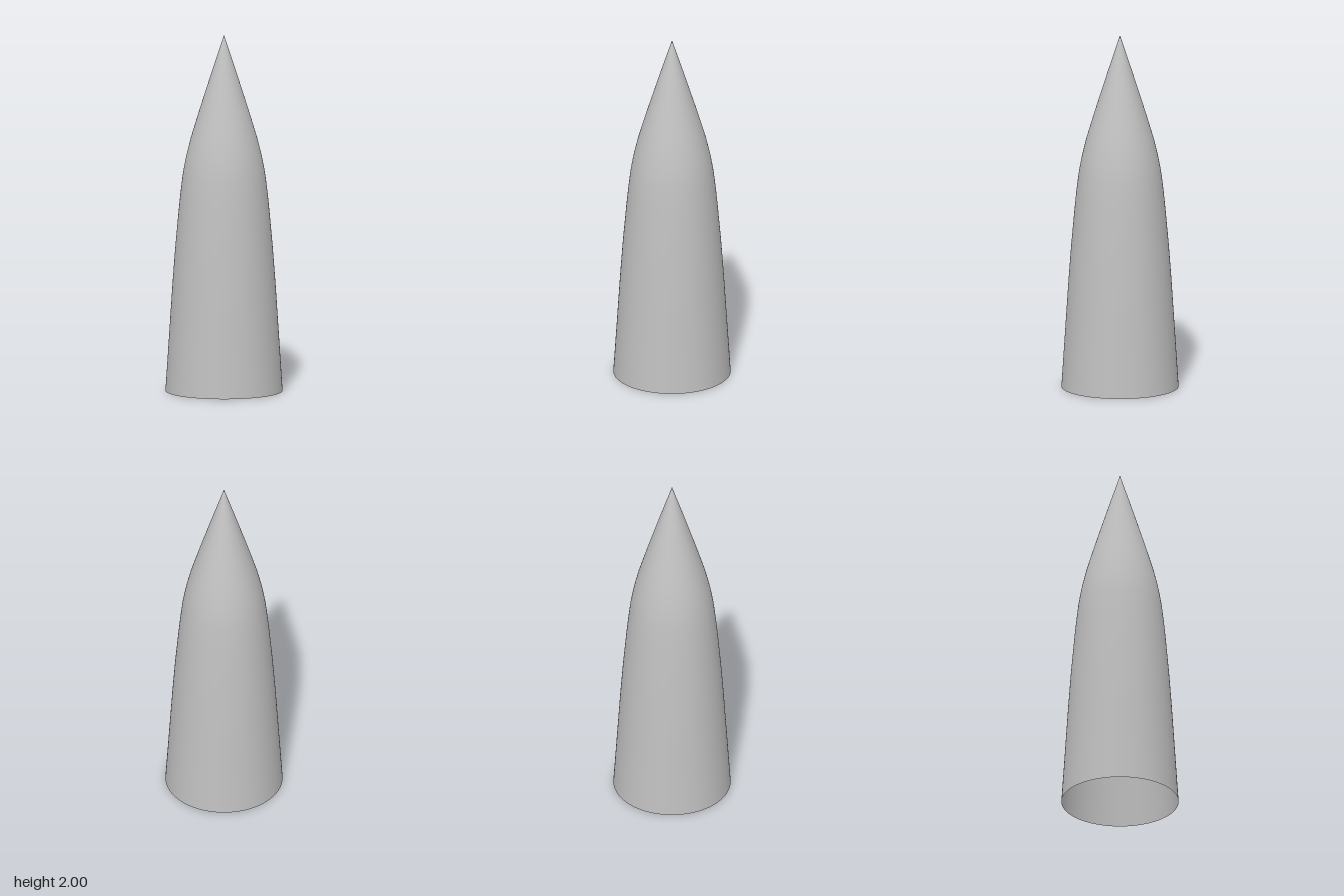
import * as THREE from 'three';

export function createModel() {
  const group = new THREE.Group();
  group.name = 'hollowSpike';

  const shellGrey = new THREE.MeshStandardMaterial({ color: 0xc0c0c0, side: THREE.DoubleSide });
  shellGrey.name = 'shellGrey';

  // Gently tapering body, rounded shoulder, then a pointed nose: [radius, height]
  const profile = [
    [0.326, 0], [0.313, 0.2], [0.3, 0.4], [0.287, 0.6], [0.272, 0.8],
    [0.254, 1.0], [0.244, 1.1], [0.232, 1.2], [0.222, 1.26], [0.21, 1.32],
    [0.188, 1.41], [0.161, 1.5], [0.13, 1.6], [0.098, 1.7], [0.066, 1.8],
    [0.033, 1.9], [0, 2],
  ].map(([r, y]) => new THREE.Vector2(r, y));

  // Thin shell, open underneath
  const shell = new THREE.Mesh(new THREE.LatheGeometry(profile, 96), shellGrey);
  shell.name = 'shell';
  group.add(shell);

  return group;
}
